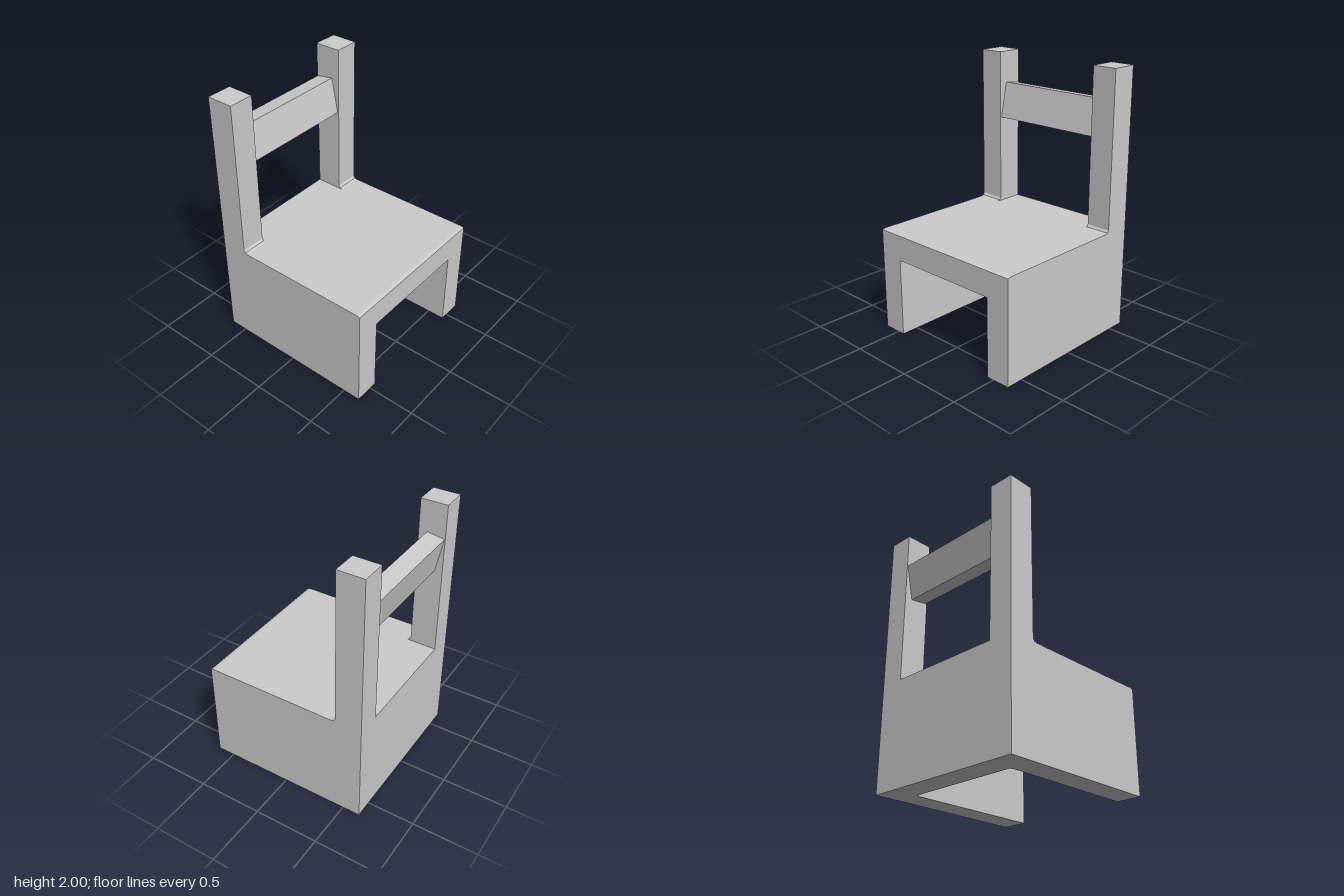
import * as THREE from 'three';

const OUT = 0.635;   // outer half width and depth
const INN = 0.445;   // inner half width between the side panels

const grey = new THREE.MeshStandardMaterial({ color: 0xcccccc });
grey.name = 'plain grey';

const outline = (pts) => new THREE.Shape(pts.map(([a, b]) => new THREE.Vector2(a, b)));
const extrude = (pts, depth) =>
  new THREE.ExtrudeGeometry(outline(pts), { depth, bevelEnabled: false });

// Prism with a (z, y) profile running from x0 to x1
function crossPrism(pts, x0, x1) {
  return extrude(pts, x1 - x0).rotateY(-Math.PI / 2).translate(x1, 0, 0);
}

export function createModel() {
  const group = new THREE.Group();
  group.name = 'chair';
  const add = (name, geometry) => {
    const mesh = new THREE.Mesh(geometry, grey);
    mesh.name = name;
    group.add(mesh);
  };

  // Side panels: solid leg and back post in one, with a small fillet at the post foot
  const side = [
    [-OUT, 0], [OUT, 0], [OUT, 0.793], [0.61, 0.8], [-0.395, 0.8],
    [-0.418, 0.806], [-0.43, 0.825], [-0.43, 2], [-OUT, 2],
  ];
  add('leftSidePanel', crossPrism(side, INN, OUT));
  add('rightSidePanel', crossPrism(side, -OUT, -INN));

  // Seat slab with eased front edge
  add('seat', crossPrism([
    [-OUT, 0.6], [OUT, 0.6], [OUT, 0.793], [0.61, 0.8], [-OUT, 0.8],
  ], -INN, INN));

  // Lower back panel with eased inner corners
  add('lowerBackPanel', extrude([
    [-INN, OUT], [-INN, 0.42], [-0.43, 0.44],
    [0.43, 0.44], [INN, 0.42], [INN, OUT],
  ], 0.6).rotateX(-Math.PI / 2));

  // Tilted rail between the posts
  add('backRail', crossPrism([
    [-0.575, 1.468], [-0.44, 1.489], [-0.495, 1.76], [-0.63, 1.739],
  ], -INN, INN));

  return group;
}
